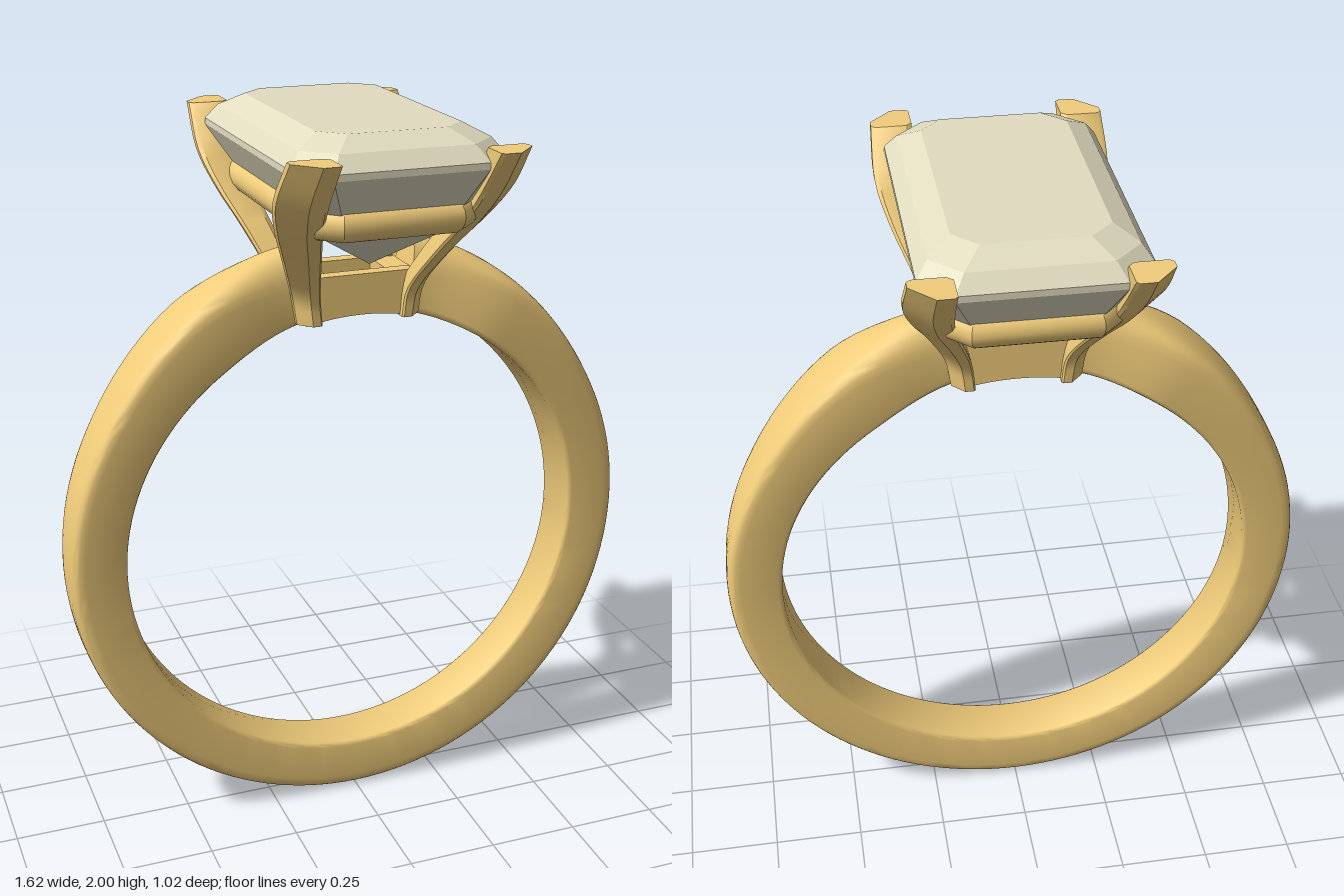
import * as THREE from 'three';
import { toCreasedNormals } from 'three/addons/utils/BufferGeometryUtils.js';

const gold = new THREE.MeshStandardMaterial({ color: 0xf0cc7a });
const gem = new THREE.MeshStandardMaterial({ color: 0xe2ddc0 });
const CY = 0.812, RI = 0.657; // finger hole centre height and radius

// Skin a list of equal-length point rings, optionally capped at both ends
function loft(rings, { caps = true, flip = false, crease = 0.6 } = {}) {
  const n = rings[0].length, idx = [];
  const tri = (a, b, c) => (flip ? idx.push(a, c, b) : idx.push(a, b, c));
  for (let i = 0; i < rings.length - 1; i++) {
    for (let j = 0; j < n; j++) {
      const a = i * n + j, b = i * n + (j + 1) % n;
      tri(a, a + n, b);
      tri(b, a + n, b + n);
    }
  }
  if (caps) {
    const t = (rings.length - 1) * n;
    for (let j = 1; j < n - 1; j++) {
      tri(0, j, j + 1);
      tri(t, t + j + 1, t + j);
    }
  }
  const g = new THREE.BufferGeometry();
  g.setAttribute('position', new THREE.Float32BufferAttribute(rings.flat(2), 3));
  g.setIndex(idx);
  return toCreasedNormals(g, crease);
}

// Rectangle with cut corners, lying at height y
function octagon(hx, hz, c, y) {
  const a = hx - c, b = hz - c;
  return [[hx, -b], [hx, b], [a, hz], [-a, hz], [-hx, b], [-hx, -b], [-a, -hz], [a, -hz]]
    .map(([x, z]) => [x, y, z]);
}

// Band: open loop that widens and thickens at the shoulders, then pinches
function bandGeometry() {
  const rings = [], steps = 120, { smoothstep, lerp, degToRad, radToDeg } = THREE.MathUtils;
  for (let i = 0; i <= steps; i++) {
    const th = degToRad(lerp(102, 438, i / steps));
    const e = radToDeg(Math.asin(Math.sin(th))); // elevation above the centre
    const pinch = smoothstep(e, 54, 78);
    const W = 0.077 + 0.028 * smoothstep(e, -15, 52) - 0.043 * pinch;
    const T = 0.152 + 0.046 * smoothstep(e, 25, 78);
    const dome = 0.25 + 0.25 * pinch, p = 0.6 + 0.3 * pinch;
    const section = [];
    for (let k = 0; k <= 14; k++) {
      const f = (k / 14 - 0.5) * Math.PI, s = Math.sin(f);
      section.push([Math.sign(s) * Math.abs(s) ** p,
        1 - dome + dome * Math.max(0, Math.cos(f)) ** p]);
    }
    section.push([1, 0.08], [0.97, 0.025], [0.9, 0], [-0.9, 0], [-0.97, 0.025], [-1, 0.08]);
    rings.push(section.map(([u, v]) => {
      const r = RI + T * v;
      return [r * Math.cos(th), CY + r * Math.sin(th), u * W];
    }));
  }
  return loft(rings, { crease: 0.9 });
}

// Emerald-cut stone: half width, half length, corner cut, height
function stoneGeometry() {
  const levels = [
    [0.003, 0.16, 0.002, 1.625], [0.16, 0.31, 0.045, 1.725], [0.225, 0.385, 0.065, 1.815],
    [0.28, 0.445, 0.08, 1.91], [0.28, 0.445, 0.08, 1.927],
    [0.25, 0.41, 0.075, 1.967], [0.19, 0.345, 0.06, 2.0],
  ];
  return loft(levels.map((l) => octagon(...l)), { crease: 0.05 });
}

// Gallery rail: round wire bent into a cut-corner rectangle
function railGeometry() {
  const rings = [], r = 0.045;
  for (let i = 0; i <= 16; i++) {
    const a = (i / 16) * Math.PI * 2 - Math.PI / 2, o = r * Math.cos(a);
    rings.push(octagon(0.2 + o, 0.355 + o, 0.06 + 0.586 * o, 1.785 + r * Math.sin(a)));
  }
  return loft(rings, { caps: false, crease: 0.5 });
}

// Prong: swept between an inner and an outer corner curve
function prongGeometry(sx, sz) {
  // height, inner x, outer x, inner z, outer z
  const levels = [
    [1.455, 0.112, 0.172, 0.06, 0.115], [1.54, 0.122, 0.188, 0.065, 0.13],
    [1.66, 0.155, 0.238, 0.145, 0.235], [1.76, 0.185, 0.285, 0.235, 0.335],
    [1.85, 0.197, 0.312, 0.315, 0.415], [1.96, 0.2, 0.308, 0.41, 0.51],
  ];
  const curve = (x, z) => new THREE.CatmullRomCurve3(
    levels.map((l) => new THREE.Vector3(l[x], l[0], l[z])), false, 'catmullrom', 0.5);
  const inner = curve(1, 3), outer = curve(2, 4), rings = [];
  const section = [[0.15, 0], [0.9, 0], [1, 0.1], [1, 0.35], [0.45, 1], [0.08, 1], [0, 0.92], [0, 0.15]];
  for (let i = 0; i <= 20; i++) {
    const a = inner.getPoint(i / 20), b = outer.getPoint(i / 20);
    rings.push(section.map(([u, v]) => [
      sx * THREE.MathUtils.lerp(a.x, b.x, u), a.y, sz * THREE.MathUtils.lerp(a.z, b.z, v)]));
  }
  return loft(rings, { flip: sx * sz < 0 });
}

// Base bar whose underside follows the finger hole
function barGeometry() {
  const half = 0.15, a = Math.asin(half / RI), s = new THREE.Shape();
  s.moveTo(half, 1.58);
  s.lineTo(-half, 1.58);
  s.absarc(0, CY, RI, Math.PI / 2 + a, Math.PI / 2 - a, true);
  s.closePath();
  return new THREE.ExtrudeGeometry(s, { depth: 0.04, bevelEnabled: false, curveSegments: 16 });
}

export function createModel() {
  const group = new THREE.Group();
  const add = (name, geometry, material = gold) => {
    const mesh = new THREE.Mesh(geometry, material);
    mesh.name = name;
    group.add(mesh);
    return mesh;
  };

  add('band', bandGeometry());
  add('stone', stoneGeometry(), gem);
  add('galleryRail', railGeometry());

  // Four prongs
  for (const sx of [1, -1]) {
    for (const sz of [1, -1]) {
      add(`${sz > 0 ? 'front' : 'back'}${sx > 0 ? 'Left' : 'Right'}Prong`, prongGeometry(sx, sz));
    }
  }

  // Hollow base frame between the shoulders
  add('frontBaseBar', barGeometry()).position.z = 0.055;
  add('backBaseBar', barGeometry()).position.z = -0.095;
  for (const s of [1, -1]) {
    add(s > 0 ? 'leftBaseBar' : 'rightBaseBar', new THREE.BoxGeometry(0.07, 0.115, 0.14))
      .position.set(s * 0.12, 1.52, 0);
  }
  return group;
}
